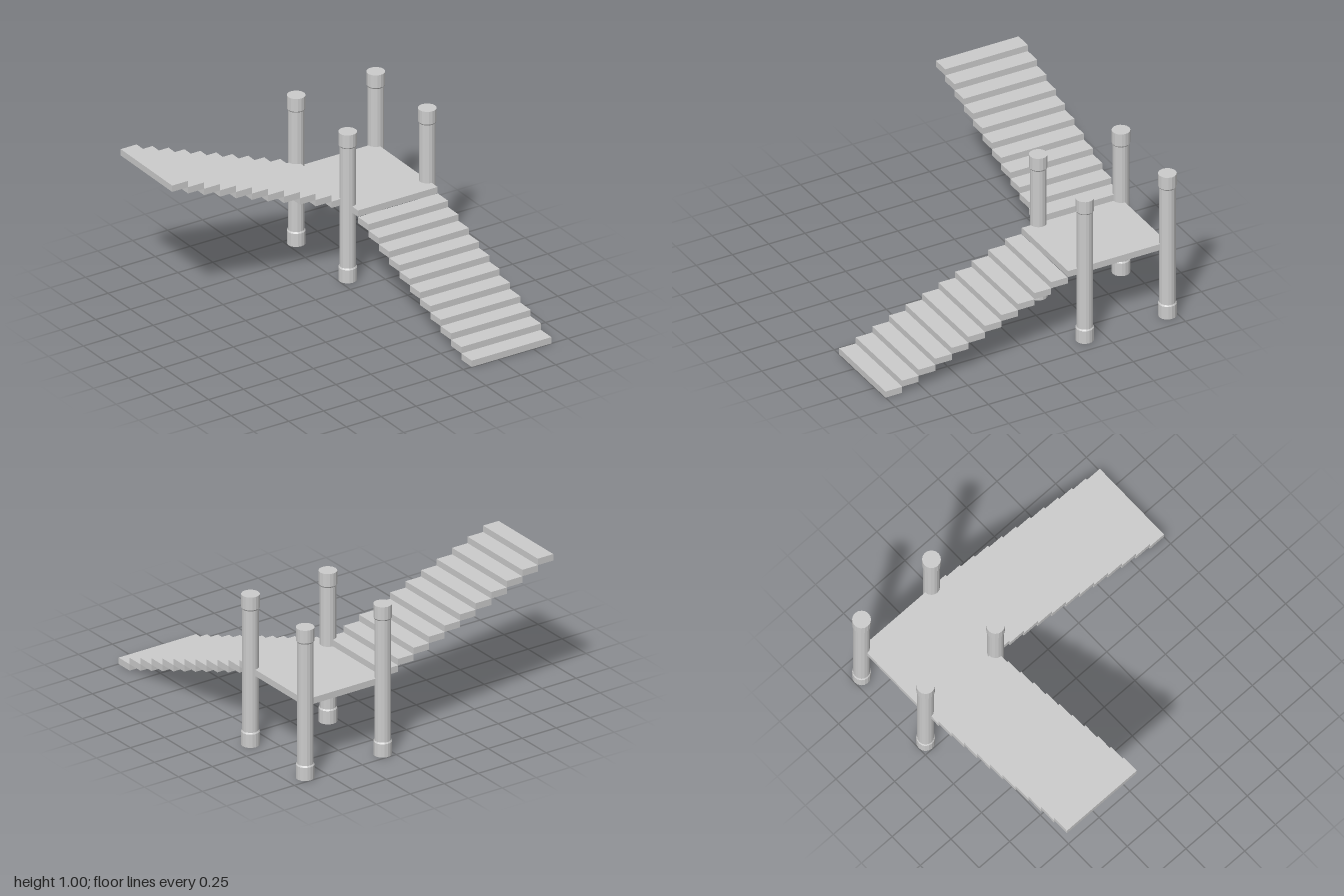
import * as THREE from 'three';

const STEP_H = 0.0428, STEP_D = 0.1142;
const X0 = 0.31, X1 = 0.88, Z0 = -0.943, Z1 = -0.373;
const DECK_TOP = 12 * STEP_H;

export function createModel() {
  const group = new THREE.Group();
  const material = new THREE.MeshStandardMaterial({ color: 0xcccccc, flatShading: true });

  // Box given by its low and high corners
  function slab(name, x0, x1, y0, y1, z0, z1) {
    const mesh = new THREE.Mesh(new THREE.BoxGeometry(x1 - x0, y1 - y0, z1 - z0), material);
    mesh.position.set((x0 + x1) / 2, (y0 + y1) / 2, (z0 + z1) / 2);
    mesh.name = name;
    group.add(mesh);
  }

  // Landing, including the tread flush with it at the head of the lower stairs
  slab('landing', X0, X1, DECK_TOP - STEP_H, DECK_TOP, Z0, Z1 + STEP_D);

  // Lower stairs climb from the front up to the landing
  for (let i = 0; i < 11; i++) {
    const z = 1 - i * STEP_D;
    slab('lowerStep', X0, X1, i * STEP_H, (i + 1) * STEP_H, z - STEP_D, z);
  }

  // Upper stairs climb from the landing towards -x
  for (let i = 0; i < 11; i++) {
    const x = X0 - i * STEP_D, y = DECK_TOP + i * STEP_H;
    slab('upperStep', x - STEP_D, x, y, y + STEP_H, Z0, Z1);
  }

  // Corner posts with a thicker foot and cap
  const profile = [
    [0, 0], [0.057, 0], [0.057, 0.088], [0.051, 0.097],
    [0.051, 0.905], [0.057, 0.914], [0.057, 1], [0, 1],
  ].map(([r, y]) => new THREE.Vector2(r, y));
  const postGeometry = new THREE.LatheGeometry(profile, 16);
  for (const x of [X0, X1]) {
    for (const z of [Z0, Z1]) {
      const post = new THREE.Mesh(postGeometry, material);
      post.position.set(x, 0, z);
      post.name = 'post';
      group.add(post);
    }
  }
  return group;
}
